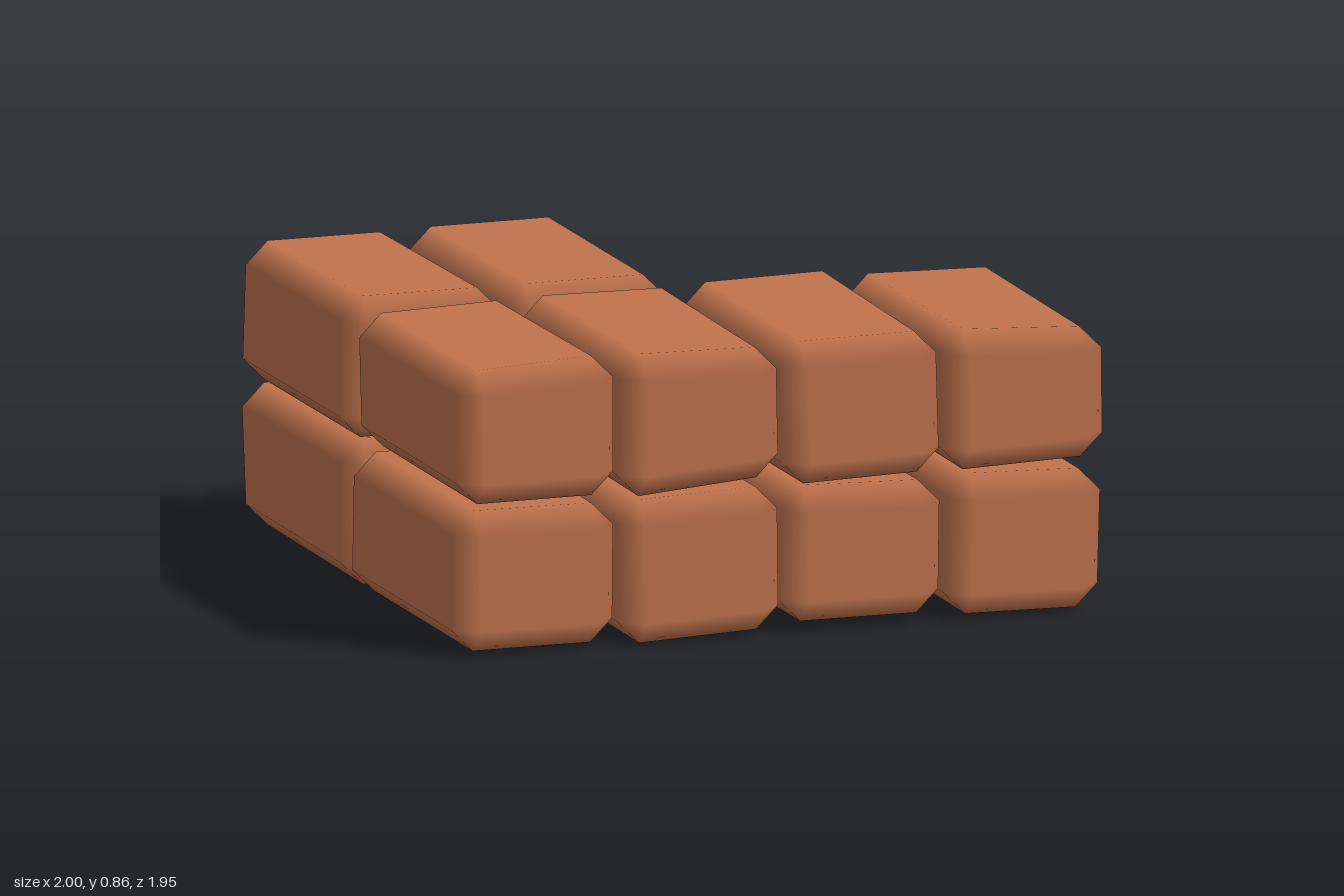
import * as THREE from 'three';

// Box with single 45-degree chamfers; face normals blend across the chamfers.
// corner(v) nudges each of the eight corners as a unit.
function chamferedBlock(size, r, corner) {
  const pos = [], nor = [], index = [];
  const id = (c, a) => c * 3 + a;
  const sign = (c, a) => (c >> a & 1 ? 1 : -1);
  for (let c = 0; c < 8; c++) {
    const move = corner([0, 1, 2].map(a => sign(c, a)));
    for (let a = 0; a < 3; a++) {
      for (let k = 0; k < 3; k++) {
        pos.push(sign(c, k) * (size[k] / 2 - (k === a ? 0 : r)) + move[k]);
        nor.push(k === a ? sign(c, k) : 0);
      }
    }
  }
  const at = i => new THREE.Vector3().fromArray(pos, i * 3);
  // Adds a convex polygon, turned to face outwards
  const face = ids => {
    const [p, q, s] = ids.map(at);
    const n = q.clone().sub(p).cross(s.clone().sub(p));
    if (n.dot(p.add(q).add(s)) < 0) ids.reverse();
    for (let i = 2; i < ids.length; i++) index.push(ids[0], ids[i - 1], ids[i]);
  };
  for (let a = 0; a < 3; a++) {
    const u = 1 << (a + 1) % 3, v = 1 << (a + 2) % 3, w = 1 << a;
    for (const c of [0, w]) face([c, c + u, c + u + v, c + v].map(k => id(k, a)));
    for (const c of [0, u, v, u + v]) {
      const b = (a + 1) % 3, d = (a + 2) % 3;
      face([id(c, b), id(c + w, b), id(c + w, d), id(c, d)]);
    }
  }
  for (let c = 0; c < 8; c++) face([id(c, 0), id(c, 1), id(c, 2)]);
  const g = new THREE.BufferGeometry();
  g.setAttribute('position', new THREE.Float32BufferAttribute(pos, 3));
  g.setAttribute('normal', new THREE.Float32BufferAttribute(nor, 3));
  g.setIndex(index);
  return g;
}

// x0, x1, y0, y1, z0, z1, then rise of the bottom and of the top towards +x
const BRICKS = {
  lowerFront: [
    [-1.0, -0.505, 0.015, 0.43, 0.01, 0.97, -0.005, 0],
    [-0.49, 0.0, 0.01, 0.432, 0.005, 0.97, 0.01, 0.01],
    [0.005, 0.495, 0.027, 0.425, 0.005, 0.965, -0.005, -0.008],
    [0.51, 0.98, 0.012, 0.43, 0.01, 0.975, -0.01, -0.008],
  ],
  lowerBack: [
    [-0.99, -0.505, 0.01, 0.435, -0.97, -0.01, 0, 0],
    [-0.49, 0.0, 0.012, 0.435, -0.97, -0.01, 0, 0],
  ],
  upperFront: [
    [-0.985, -0.5, 0.445, 0.847, 0.015, 0.965, 0, 0.015],
    [-0.49, 0.003, 0.45, 0.852, 0.005, 0.965, 0.025, -0.005],
    [0.01, 0.493, 0.44, 0.858, 0.003, 0.96, 0.003, 0.005],
    [0.502, 0.993, 0.446, 0.845, 0.01, 0.967, 0.01, -0.01],
  ],
  upperBack: [
    [-0.99, -0.505, 0.445, 0.855, -0.97, -0.015, 0, 0],
    [-0.49, 0.0, 0.452, 0.855, -0.97, -0.01, 0, 0],
  ],
};

export function createModel() {
  const group = new THREE.Group();
  const clay = new THREE.MeshStandardMaterial({ color: 0xc1734d });
  clay.name = 'clay';

  let seed = 7;
  const jitter = () => {
    seed = (seed * 16807) % 2147483647;
    return (seed / 2147483647 - 0.5) * 0.01;
  };

  for (const [course, bricks] of Object.entries(BRICKS)) {
    const row = new THREE.Group();
    row.name = course + 'Bricks';
    for (const [x0, x1, y0, y1, z0, z1, bottom, top] of bricks) {
      const geometry = chamferedBlock([x1 - x0, y1 - y0, z1 - z0], 0.067, ([sx, sy]) =>
        [jitter(), jitter() + sx * (sy > 0 ? top : bottom) / 2, jitter()]);
      const brick = new THREE.Mesh(geometry, clay);
      brick.name = 'brick';
      brick.position.set((x0 + x1) / 2, (y0 + y1) / 2, (z0 + z1) / 2);
      row.add(brick);
    }
    group.add(row);
  }
  return group;
}
